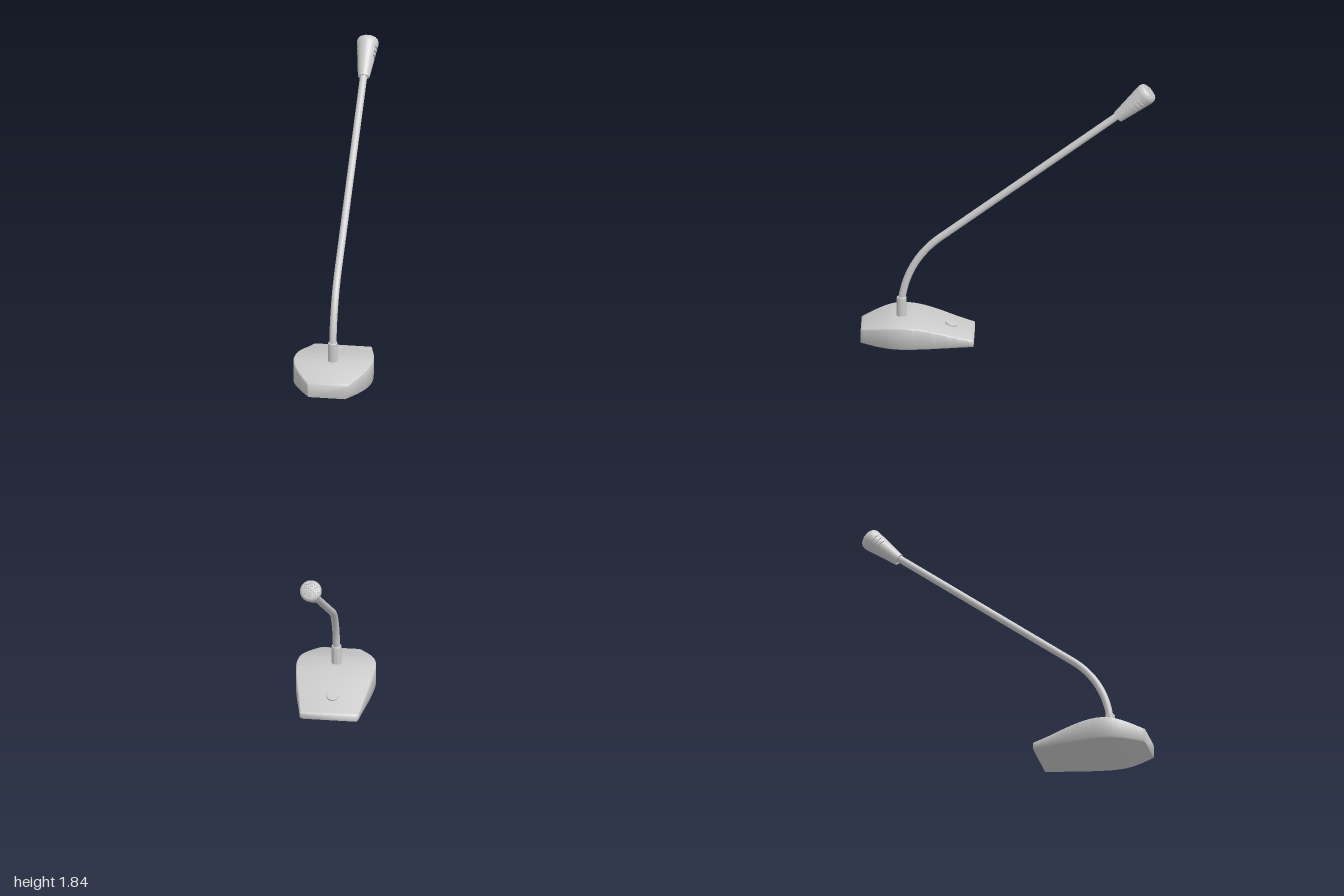
import * as THREE from 'three';
import { toCreasedNormals } from 'three/addons/utils/BufferGeometryUtils.js';

const V3 = (x, y, z) => new THREE.Vector3(x, y, z);
const grey = new THREE.MeshStandardMaterial({ color: 0xcccccc });
const greyDouble = new THREE.MeshStandardMaterial({ color: 0xcccccc, side: THREE.DoubleSide });

function add(parent, name, geometry, material = grey) {
  const mesh = new THREE.Mesh(geometry, material);
  mesh.name = name;
  parent.add(mesh);
  return mesh;
}

// Lathe from [radius, height] pairs, optionally over part of a turn
function lathe(points, start = 0, length = Math.PI * 2, segments = 40) {
  return new THREE.LatheGeometry(points.map(([r, y]) => new THREE.Vector2(r, y)), segments, start, length);
}

// Wedge base lofted along z through (half width, height, z)
function baseGeometry() {
  const rail = new THREE.CatmullRomCurve3([
    V3(0.2, 0.047, 0.235), V3(0.221, 0.078, 0.35), V3(0.246, 0.117, 0.48), V3(0.264, 0.146, 0.6),
    V3(0.271, 0.157, 0.71), V3(0.256, 0.151, 0.8), V3(0.213, 0.131, 0.89), V3(0.14, 0.101, 0.995),
  ]);
  const sections = rail.getPoints(42);
  const first = sections[0], last = sections[sections.length - 1];
  sections.unshift(V3(first.x - 0.006, first.y - 0.005, 0.23));
  sections.push(V3(last.x - 0.006, last.y - 0.005, 1));
  const b = 0.01, c = 0.003;
  const rings = sections.map(({ x: w, y: h, z }) => [
    [-w + b, 0], [w - b, 0], [w, b], [w, h - b], [w - c, h - c], [w - b, h],
    [-w + b, h], [-w + c, h - c], [-w, h - b], [-w, b],
  ].map(([x, y]) => [x, y, z]));
  const n = rings[0].length, index = [];
  for (let i = 0; i < rings.length - 1; i++) {
    for (let j = 0; j < n; j++) {
      const a0 = i * n + j, a1 = i * n + (j + 1) % n;
      index.push(a0, a1, a1 + n, a0, a1 + n, a0 + n);
    }
  }
  const end = (rings.length - 1) * n;
  for (let j = 1; j < n - 1; j++) index.push(0, j + 1, j, end, end + j, end + j + 1);
  const geometry = new THREE.BufferGeometry();
  geometry.setAttribute('position', new THREE.Float32BufferAttribute(rings.flat(2), 3));
  geometry.setIndex(index);
  return toCreasedNormals(geometry, 0.9);
}

// Tapered capsule with side slots and a mesh grille, built along +y
function createHead() {
  const head = new THREE.Group();
  head.name = 'microphoneHead';
  const radius = (s) => 0.04 + s * 0.139;
  const wall = 0.01, slotHalf = 0.6, slotHeight = 0.015;
  const band = (s0, s1) => [
    [radius(s0) - wall, s0], [radius(s0), s0], [radius(s0), s0],
    [radius(s1), s1], [radius(s1), s1], [radius(s1) - wall, s1],
  ];

  let s = 0;
  for (const centre of [0.15, 0.18, 0.21]) {
    const s0 = centre - slotHeight / 2, s1 = centre + slotHeight / 2;
    add(head, 'headShell', lathe(band(s, s0)), greyDouble);
    for (const side of [0, Math.PI]) {
      const start = side + Math.PI / 2 + slotHalf;
      add(head, 'slotBridge', lathe(band(s0, s1), start, Math.PI - 2 * slotHalf, 16), greyDouble);
    }
    s = s1;
  }
  add(head, 'headShell', lathe(band(s, 0.245)), greyDouble);
  add(head, 'headCore', lathe([[0, 0.006], [0.03, 0.006], [radius(0.24) - wall, 0.24]]));
  add(head, 'headRim', lathe([[0.074, 0.245], [0.0745, 0.255], [0.072, 0.268], [0.067, 0.279], [0.061, 0.285]]));

  // Domed end with crossing wires
  const dome = (r) => 0.284 + 0.014 * (1 - (r / 0.061) ** 2);
  const profile = [0.061, 0.05, 0.038, 0.025, 0.012, 0].map((r) => [r, dome(r)]);
  add(head, 'grilleDome', lathe(profile));
  for (let i = -4; i <= 4; i++) {
    const offset = i * 0.0125;
    const half = Math.sqrt(0.059 ** 2 - offset ** 2);
    for (const turn of [0, Math.PI / 2]) {
      const points = [-1, -0.5, 0, 0.5, 1].map((t) => V3(t * half, dome(Math.hypot(t * half, offset)), offset));
      const wire = new THREE.TubeGeometry(new THREE.CatmullRomCurve3(points), 10, 0.0025, 5);
      add(head, 'grilleWire', wire).rotation.y = turn;
    }
  }
  return head;
}

export function createModel() {
  const model = new THREE.Group();
  model.name = 'deskMicrophone';

  add(model, 'base', baseGeometry());

  // Push button lying on the sloping top
  const button = add(model, 'button', toCreasedNormals(
    lathe([[0, -0.012], [0.04, -0.012], [0.04, 0.009], [0.037, 0.012], [0, 0.012]]), 0.6));
  button.position.set(-0.008, 0.092, 0.39);
  button.rotation.x = -0.29;

  // Collar at the foot of the stem
  const collar = add(model, 'collar', toCreasedNormals(
    lathe([[0.033, 0.13], [0.033, 0.287], [0.03, 0.291], [0, 0.291]]), 0.6));
  collar.position.z = 0.725;

  // Gooseneck: a bend followed by a straight run
  const path = new THREE.CurvePath();
  path.add(new THREE.CubicBezierCurve3(
    V3(0, 0.26, 0.725), V3(0, 0.45, 0.705), V3(0, 0.62, 0.61), V3(0, 0.735, 0.445)));
  path.add(new THREE.LineCurve3(V3(0, 0.735, 0.445), V3(0, 1.625, -0.757)));
  add(model, 'stem', new THREE.TubeGeometry(path, 80, 0.025, 20));

  const head = createHead();
  head.position.set(0, 1.607, -0.747);
  head.rotation.x = -0.85;
  model.add(head);

  return model;
}
